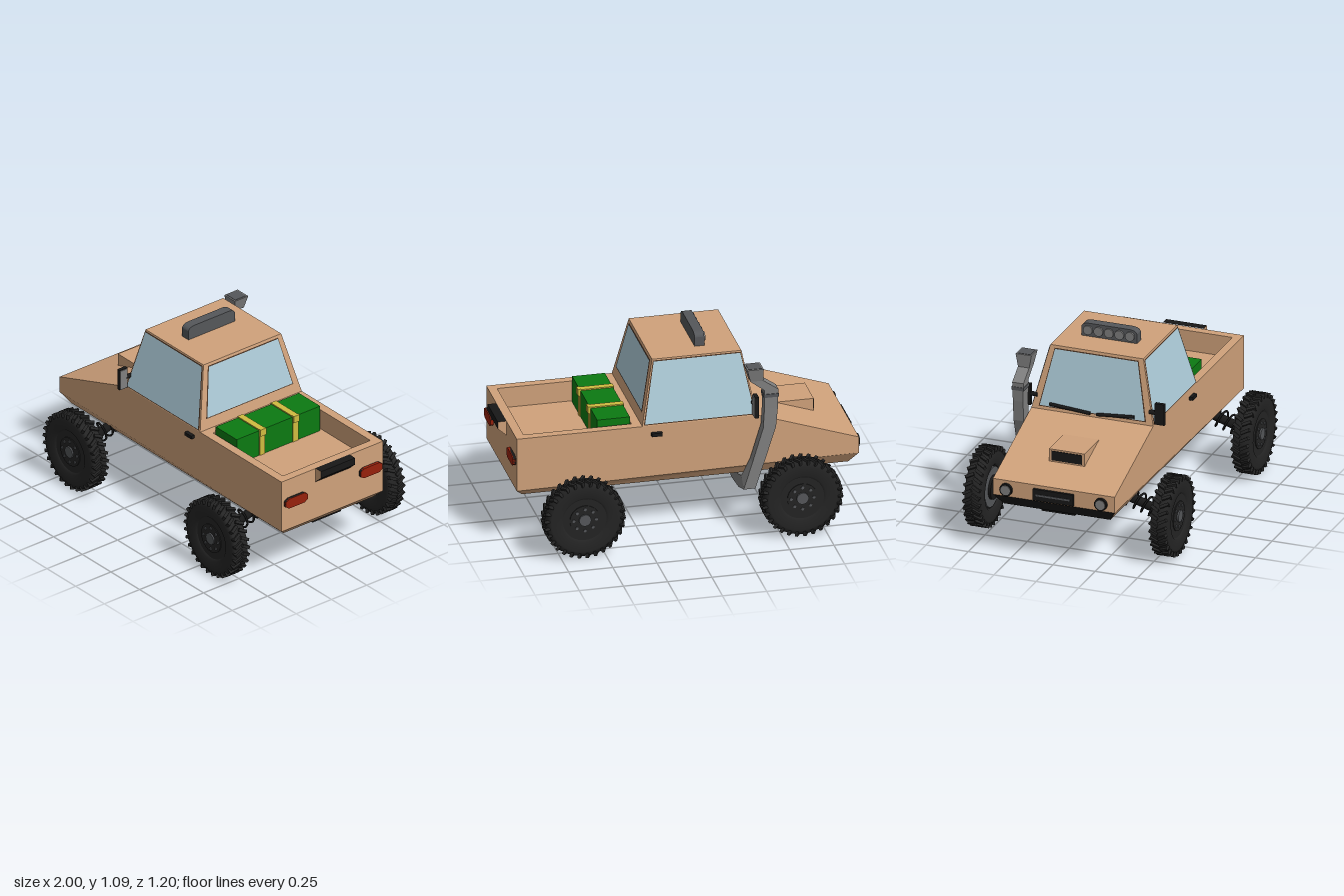
import * as THREE from 'three';

const mat = (name, color, side = THREE.FrontSide) => {
  const m = new THREE.MeshStandardMaterial({ color, side });
  m.name = name;
  return m;
};
const V = (x, y, z) => new THREE.Vector3(x, y, z);

export function createModel() {
  const root = new THREE.Group();
  root.name = 'pickupTruck';
  const sand = mat('sand', 0xd0a27b), glass = mat('glass', 0xadcbd8, THREE.DoubleSide);
  const trim = mat('window trim', 0x4a3425, THREE.DoubleSide), black = mat('black', 0x181818);
  const rubber = mat('rubber', 0x242424), darkGrey = mat('dark grey', 0x55575a);
  const grey = mat('grey', 0x808080), green = mat('green', 0x0c7a12);
  const yellow = mat('yellow', 0xd0bc40), red = mat('red', 0x97210c);

  const add = (name, geo, m, parent = root) => {
    const mesh = new THREE.Mesh(geo, m);
    mesh.name = name;
    parent.add(mesh);
    return mesh;
  };
  const box = (name, m, x0, x1, y0, y1, z0, z1, parent = root) => {
    const mesh = add(name, new THREE.BoxGeometry(x1 - x0, y1 - y0, z1 - z0), m, parent);
    mesh.position.set((x0 + x1) / 2, (y0 + y1) / 2, (z0 + z1) / 2);
    return mesh;
  };
  const rod = (name, m, a, b, r, parent = root, sides = 20) => {
    const d = b.clone().sub(a);
    const mesh = add(name, new THREE.CylinderGeometry(r, r, d.length(), sides), m, parent);
    mesh.position.copy(a).add(b).multiplyScalar(0.5);
    mesh.quaternion.setFromUnitVectors(V(0, 1, 0), d.normalize());
    return mesh;
  };
  // Flat convex polygons, all turned away from (or towards) a reference point
  const panels = (polys, ref, inward = false) => {
    const pos = [];
    for (const p of polys) {
      const n = p[1].clone().sub(p[0]).cross(p[2].clone().sub(p[0]));
      const mid = p.reduce((s, v) => s.add(v), V(0, 0, 0)).divideScalar(p.length);
      const q = (n.dot(mid.sub(ref)) < 0) !== inward ? [...p].reverse() : p;
      for (let i = 1; i < q.length - 1; i++)
        for (const v of [q[0], q[i], q[i + 1]]) pos.push(v.x, v.y, v.z);
    }
    const g = new THREE.BufferGeometry();
    g.setAttribute('position', new THREE.Float32BufferAttribute(pos, 3));
    g.computeVertexNormals();
    return g;
  };
  const flat = (x0, x1, z0, z1, y) => [V(x0, y, z0), V(x1, y, z0), V(x1, y, z1), V(x0, y, z1)];
  const ringWalls = (a, b) => a.map((v, i) => [v, a[(i + 1) % 4], b[(i + 1) % 4], b[i]]);

  // Body shell: side profile, hood, ends, chamfered sill and bed rim
  const W = 0.36, center = V(0, 0.45, 0);
  const profile = [[-0.985, 0.36], [-0.985, 0.455], [-0.41, 0.65], [0.95, 0.65], [0.95, 0.335]];
  const sides = [1, -1].map(s => profile.map(([x, y]) => V(x, y, s * W)));
  const strip = i => [sides[0][i], sides[0][i + 1], sides[1][i + 1], sides[1][i]];
  const sill = [sides[1][0], sides[1][4], sides[0][4], sides[0][0]];
  const floor = flat(-0.935, 0.91, -0.315, 0.315, 0.293);
  const sillWalls = ringWalls(sill, floor);
  add('body', panels([...sides, strip(0), strip(1), strip(3), ...sillWalls.slice(0, 3),
    flat(-0.41, 0.29, -W, W, 0.65), flat(0.9, 0.95, -W, W, 0.65),
    flat(0.29, 0.9, -W, -0.31, 0.65), flat(0.29, 0.9, 0.31, W, 0.65)], center), sand);
  add('underside', panels([floor, sillWalls[3]], center), black);
  box('skidPlate', black, -0.92, 0.9, 0.277, 0.294, -0.1, 0.1);
  const bedTop = flat(0.29, 0.9, -0.31, 0.31, 0.65), bedFloor = flat(0.29, 0.9, -0.31, 0.31, 0.53);
  add('cargoBed', panels([...ringWalls(bedTop, bedFloor), bedFloor], V(0.6, 0.6, 0), true), sand);

  // Cabin with trimmed glass on all four sides
  const cabinMid = V(-0.08, 0.8, 0);
  const low = flat(-0.41, 0.24, -W, W, 0.65), high = flat(-0.34, 0.165, -0.275, 0.275, 1.012);
  const cabinWalls = ringWalls(low, high);
  add('cabin', panels([...cabinWalls, high], cabinMid), sand);
  const pane = ([a, b, c, d], u, v0, v1, off) => {
    const n = b.clone().sub(a).cross(d.clone().sub(a)).normalize();
    if (n.dot(a.clone().sub(cabinMid)) < 0) n.negate();
    const at = (s, t) => a.clone().lerp(b, s).lerp(d.clone().lerp(c, s), t).addScaledVector(n, off);
    return panels([[at(u, v0), at(1 - u, v0), at(1 - u, v1), at(u, v1)]], cabinMid);
  };
  const windows = [['rightWindow', 0.02, 0.03, 0.965], ['rearWindow', 0.063, 0.18, 0.945],
    ['leftWindow', 0.02, 0.03, 0.965], ['windshield', 0.063, 0.06, 0.945]];
  windows.forEach(([name, u, v0, v1], i) => {
    add(name + 'Trim', pane(cabinWalls[i], u - 0.009, v0 - 0.016, v1 + 0.016, 0.002), trim);
    add(name, pane(cabinWalls[i], u, v0, v1, 0.005), glass);
  });

  // Hood scoop
  const s0 = [V(-0.79, 0.51, 0.105), V(-0.79, 0.595, 0.105), V(-0.57, 0.595, 0.105)];
  const s1 = s0.map(v => V(v.x, v.y, -v.z));
  add('hoodScoop', panels([s0, s1, [s0[1], s0[2], s1[2], s1[1]], [s0[0], s0[1], s1[1], s1[0]]],
    V(-0.7, 0.57, 0)), sand);
  box('scoopOpening', black, -0.794, -0.788, 0.53, 0.585, -0.09, 0.09);

  // Roof light bar
  const bar = new THREE.Shape();
  bar.moveTo(-0.165, 0).lineTo(0.165, 0).lineTo(0.165, 0.055);
  bar.quadraticCurveTo(0.16, 0.078, 0.12, 0.08).lineTo(-0.12, 0.08);
  bar.quadraticCurveTo(-0.16, 0.078, -0.165, 0.055);
  const barMesh = add('lightBar', new THREE.ExtrudeGeometry(bar, { depth: 0.055, bevelEnabled: false }), darkGrey);
  barMesh.rotation.y = Math.PI / 2;
  barMesh.position.set(-0.157, 1.01, 0);
  for (let i = -2; i <= 2; i++)
    rod('roofLamp', grey, V(-0.167, 1.05, i * 0.062), V(-0.15, 1.05, i * 0.062), 0.027);

  // Nose and tail fittings
  box('grille', black, -1, -0.98, 0.368, 0.435, -0.12, 0.12);
  box('grilleBar', darkGrey, -1.003, -0.999, 0.396, 0.406, -0.1, 0.1);
  const wedge = [[0.95, 0.565], [1, 0.61], [1, 0.652], [0.95, 0.652]];
  const wedgeSides = [1, -1].map(s => wedge.map(([x, y]) => V(x, y, s * 0.12)));
  add('tailgateHandleSides', panels(wedgeSides, V(0.97, 0.62, 0)), sand);
  add('tailgateHandle', panels([0, 1, 2].map(i => [wedgeSides[0][i], wedgeSides[0][i + 1],
    wedgeSides[1][i + 1], wedgeSides[1][i]]), V(0.97, 0.62, 0)), black);
  const lampShape = new THREE.Shape([[-0.077, -0.015], [-0.055, -0.03], [0.055, -0.03], [0.077, -0.015],
    [0.077, 0.015], [0.055, 0.03], [-0.055, 0.03], [-0.077, 0.015]].map(p => new THREE.Vector2(...p)));
  for (const s of [1, -1]) {
    rod('headlightRing', black, V(-1, 0.402, s * 0.28), V(-0.98, 0.402, s * 0.28), 0.037);
    rod('headlight', grey, V(-1.004, 0.402, s * 0.28), V(-0.99, 0.402, s * 0.28), 0.028);
    for (const [name, m, depth] of [['tailLightHousing', black, 0.014], ['tailLight', red, 0.018]]) {
      const l = add(name, new THREE.ExtrudeGeometry(lampShape, { depth, bevelEnabled: false }), m);
      l.rotation.y = Math.PI / 2;
      l.position.set(0.95, 0.506, s * 0.265);
    }
    // Door handle, mirror and wiper on each side
    const [h0, h1] = s > 0 ? [W, 0.382] : [-0.382, -W];
    box('doorHandle', black, 0.13, 0.19, 0.59, 0.61, h0, h1);
    rod('mirrorArm', black, V(-0.39, 0.725, s * 0.33), V(-0.39, 0.725, s * 0.38), 0.013);
    box('mirrorHousing', black, -0.405, -0.383, 0.66, 0.785, s * 0.395 - 0.028, s * 0.395 + 0.028);
    box('mirrorGlass', grey, -0.384, -0.379, 0.664, 0.781, s * 0.395 - 0.025, s * 0.395 + 0.025);
    rod('wiper', black, V(-0.418, 0.672, s * 0.02 + 0.01), V(-0.416, 0.69, s * 0.25), 0.01, root, 8);
  }

  // Strapped cargo
  box('cargo', green, 0.295, 0.48, 0.53, 0.686, -0.295, 0.295);
  for (const z of [-0.118, 0.118]) {
    box('strap', yellow, 0.29, 0.486, 0.531, 0.693, z - 0.019, z + 0.019);
    box('strapBuckle', yellow, 0.478, 0.495, 0.655, 0.696, z - 0.02, z + 0.02);
  }

  // Snorkel: rectangular sections x, y, z, half width, and half depth in y and z
  const sections = [[-0.38, 0.965, -0.4, 0.046, 0, 0.047], [-0.39, 0.89, -0.4, 0.036, 0, 0.033],
    [-0.472, 0.83, -0.4, 0.04, 0, 0.033], [-0.472, 0.72, -0.4, 0.038, 0, 0.03],
    [-0.463, 0.6, -0.4, 0.036, 0, 0.03], [-0.4, 0.4, -0.402, 0.034, 0, 0.03],
    [-0.35, 0.27, -0.4, 0.033, 0.03, 0.03], [-0.35, 0.237, -0.3, 0.033, 0.037, 0.005],
    [-0.35, 0.228, -0.15, 0.033, 0.042, 0], [-0.35, 0.237, -0.05, 0.033, 0.038, 0]];
  const rings = sections.map(([x, y, z, h, b, c]) => [V(x - h, y - b, z - c), V(x + h, y - b, z - c),
    V(x + h, y + b, z + c), V(x - h, y + b, z + c)]);
  const snorkel = new THREE.Group();
  snorkel.name = 'snorkel';
  root.add(snorkel);
  for (let i = 0; i < rings.length - 1; i++) {
    const mid = V(...sections[i]).add(V(...sections[i + 1])).multiplyScalar(0.5);
    const polys = ringWalls(rings[i], rings[i + 1]).flatMap(([a, b, c, d]) => [[a, b, c], [a, c, d]]);
    if (i === 0) polys.push(rings[0]);
    if (i === rings.length - 2) polys.push(rings[i + 1]);
    add('snorkelSegment', panels(polys, mid), grey, snorkel);
  }
  box('snorkelMouth', darkGrey, -0.418, -0.342, 0.96, 0.967, -0.438, -0.362, snorkel);
  box('snorkelClamp', darkGrey, -0.514, -0.43, 0.785, 0.805, -0.436, -0.364, snorkel);

  // Wheels, built with the outer face towards +z
  const tyreProfile = [[0.12, -0.035], [0.135, -0.048], [0.19, -0.05], [0.217, -0.042], [0.217, 0.042],
    [0.19, 0.05], [0.135, 0.048], [0.12, 0.035]].map(p => new THREE.Vector2(...p));
  const makeWheel = () => {
    const w = new THREE.Group();
    add('tyre', new THREE.LatheGeometry(tyreProfile, 40), rubber, w).rotation.x = Math.PI / 2;
    for (let i = 0; i < 60; i++) {
      const s = i % 2 ? 1 : -1, a = i / 60 * Math.PI * 2;
      const spoke = new THREE.Group();
      spoke.name = 'treadBlock';
      spoke.rotation.z = a;
      const lug = box('lug', rubber, -0.0085, 0.0085, 0.2, 0.229, s * 0.025 - 0.026, s * 0.025 + 0.026, spoke);
      lug.rotation.y = s * 0.5;
      w.add(spoke);
    }
    rod('rim', rubber, V(0, 0, -0.03), V(0, 0, 0.038), 0.13, w, 32);
    rod('hubPlate', rubber, V(0, 0, 0.03), V(0, 0, 0.043), 0.085, w, 24);
    rod('hubCap', darkGrey, V(0, 0, 0.03), V(0, 0, 0.052), 0.034, w);
    for (let i = 0; i < 8; i++) {
      const a = i / 8 * Math.PI * 2, x = Math.cos(a) * 0.064, y = Math.sin(a) * 0.064;
      rod('wheelBolt', darkGrey, V(x, y, 0.035), V(x, y, 0.048), 0.009, w, 8);
    }
    rod('brakeDisc', darkGrey, V(0, 0, -0.04), V(0, 0, -0.025), 0.115, w, 28);
    rod('innerHub', black, V(0, 0, -0.055), V(0, 0, -0.03), 0.07, w);
    return w;
  };

  // Suspension arms with coil springs
  class Coil extends THREE.Curve {
    getPoint(t, out = V(0, 0, 0)) {
      const a = t * Math.PI * 8;
      return out.set(Math.cos(a) * 0.05, (t - 0.5) * 0.19, Math.sin(a) * 0.05);
    }
  }
  const coil = new THREE.TubeGeometry(new Coil(), 96, 0.006, 6);
  for (const x of [-0.61, 0.62]) for (const s of [1, -1]) {
    const wheel = makeWheel();
    wheel.name = (x < 0 ? 'front' : 'rear') + 'Wheel';
    wheel.position.set(x, 0.23, s * 0.55);
    if (s < 0) wheel.rotation.y = Math.PI;
    root.add(wheel);
    const arm = rod('suspensionArm', black, V(x, 0.235, s * 0.51), V(x, 0.32, s * 0.24), 0.026);
    const spring = add('coilSpring', coil, black);
    spring.position.copy(arm.position);
    spring.quaternion.copy(arm.quaternion);
  }
  return root;
}
